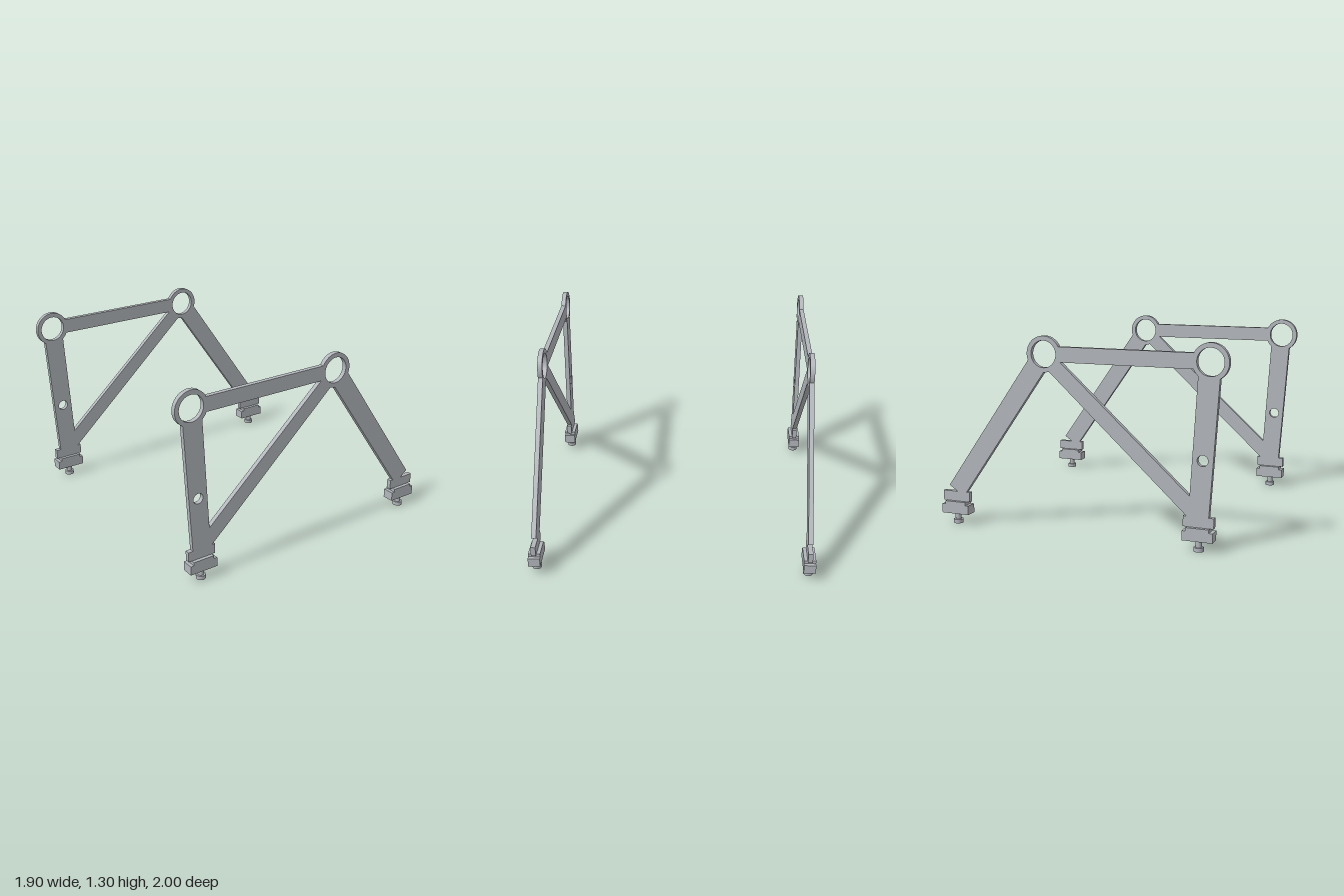
import * as THREE from 'three';
import { toCreasedNormals } from 'three/addons/utils/BufferGeometryUtils.js';

const steel = new THREE.MeshStandardMaterial({ color: 0xb2b6bb });
steel.name = 'grey steel';

const PLATE = 0.032;                 // plate thickness
const RING_Y = 1.182, RING_R = 0.117, HOLE_R = 0.087;
const FRONT_RING = 0.883, BACK_RING = -0.228;
const rad = (d) => d * Math.PI / 180;

function circleHole(z, y, r) {
  const path = new THREE.Path();
  path.absarc(z, y, r, 0, Math.PI * 2, true);
  return path;
}

// Side plate drawn in (z, y): rings, beams, legs and clamp tops in one outline
function plateGeometry() {
  const s = new THREE.Shape();
  s.moveTo(-0.998, 0.154);
  s.lineTo(-0.798, 0.154);
  s.lineTo(-0.798, 0.221);
  s.lineTo(-0.821, 0.221);
  s.absarc(BACK_RING, RING_Y, RING_R, rad(-90), rad(-71), false);
  const foot = [[0.741, 0.221], [0.718, 0.221], [0.718, 0.154], [0.918, 0.154], [0.918, 0.221], [0.885, 0.221]];
  foot.forEach(([z, y]) => s.lineTo(z, y));
  s.absarc(FRONT_RING, RING_Y, RING_R, rad(-58.5), rad(154), false);
  s.absarc(BACK_RING, RING_Y, RING_R, rad(26), rad(201), false);
  s.lineTo(-0.95, 0.262);
  s.lineTo(-0.89, 0.221);
  s.lineTo(-0.998, 0.221);
  s.closePath();

  // triangular opening between the beams, starting with the front ring's arc
  const opening = new THREE.Path();
  opening.absarc(FRONT_RING, RING_Y, RING_R, rad(229), rad(204), true);
  opening.lineTo(-0.11, 1.134);
  opening.lineTo(0.76, 0.347);
  opening.closePath();

  s.holes.push(
    opening,
    circleHole(FRONT_RING, RING_Y, HOLE_R),
    circleHole(BACK_RING, RING_Y, HOLE_R),
    circleHole(0.841, 0.576, 0.035),
  );
  const g = new THREE.ExtrudeGeometry(s, { depth: PLATE, bevelEnabled: false, curveSegments: 32 });
  g.translate(0, 0, -PLATE / 2);
  g.rotateY(-Math.PI / 2);
  return toCreasedNormals(g, rad(30));
}

function add(group, name, geometry, y) {
  const mesh = new THREE.Mesh(geometry, steel);
  mesh.name = name;
  mesh.position.y = y;
  group.add(mesh);
}

// Clamp block with an adjusting bolt below
function createFoot(name, z) {
  const foot = new THREE.Group();
  foot.name = name;
  foot.position.z = z;
  add(foot, 'clampNeck', new THREE.BoxGeometry(0.08, 0.022, 0.152), 0.143);
  add(foot, 'clampBlock', new THREE.BoxGeometry(0.08, 0.062, 0.2), 0.101);
  add(foot, 'boltShaft', new THREE.CylinderGeometry(0.02, 0.02, 0.05, 24), 0.05);
  add(foot, 'boltHead', new THREE.CylinderGeometry(0.032, 0.032, 0.027, 24), 0.0135);
  return foot;
}

export function createModel() {
  const model = new THREE.Group();
  model.name = 'bracketPair';
  const geometry = plateGeometry();
  for (const [name, x] of [['leftBracket', 0.91], ['rightBracket', -0.91]]) {
    const bracket = new THREE.Group();
    bracket.name = name;
    bracket.position.x = x;
    add(bracket, 'sidePlate', geometry, 0);
    bracket.add(createFoot('frontFoot', 0.818), createFoot('backFoot', -0.898));
    model.add(bracket);
  }
  return model;
}
